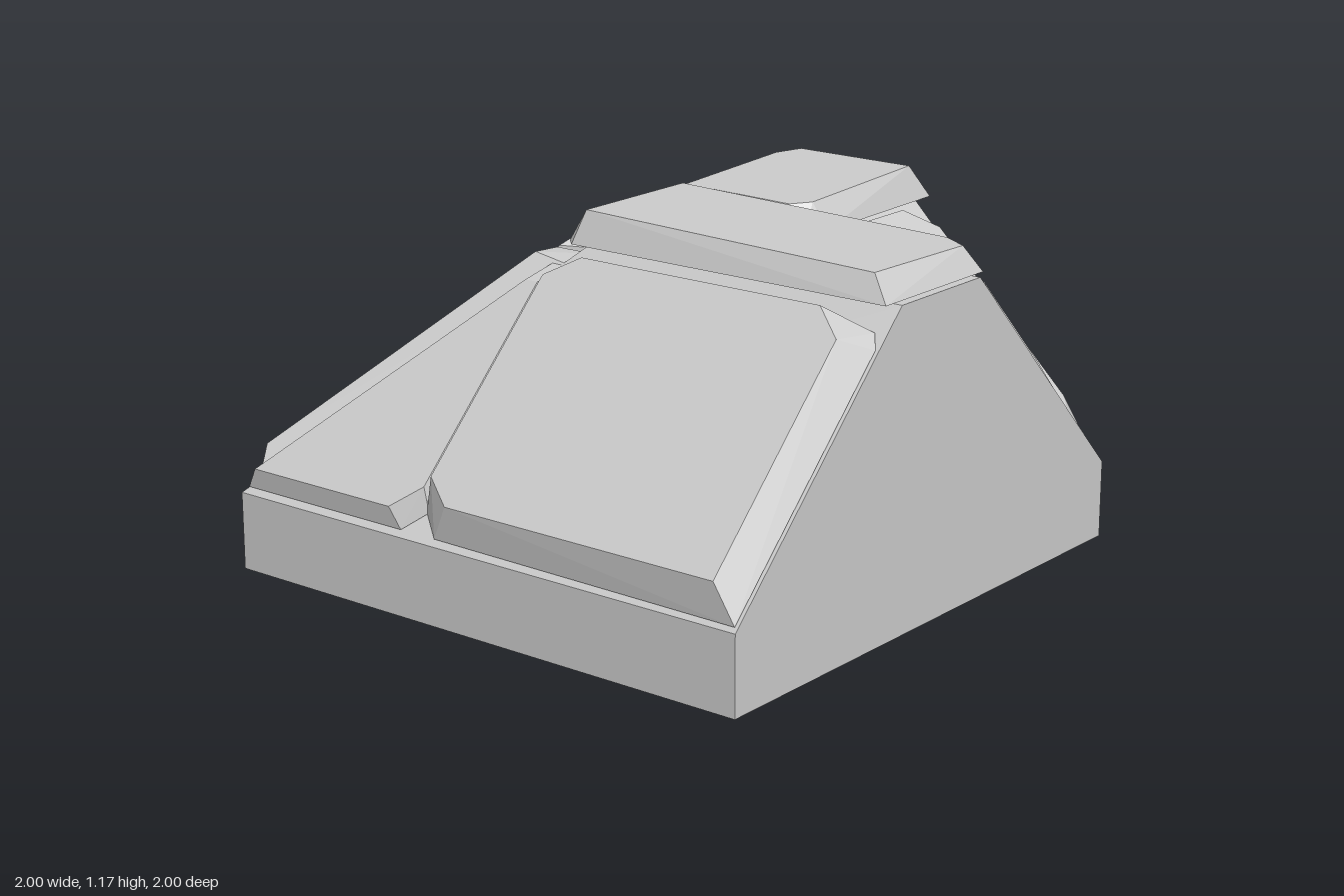
import * as THREE from 'three';
import { ConvexGeometry } from 'three/addons/geometries/ConvexGeometry.js';

// Embankment cross-section: [distance across the ridge, height]
const PROFILE = [[-1, 0], [-1, 0.26], [-0.22, 1.05], [0.2, 1.05], [1, 0.26], [1, 0]];

// Height of the embankment at distance s across the ridge
const ground = (s) => Math.min(1.05, s > 0 ? 0.26 + (1 - s) * 0.9875 : 0.26 + (1 + s) * 1.013);

const material = () => new THREE.MeshStandardMaterial({ color: 0xcccccc, flatShading: true });

// L-shaped embankment: the profile swept along +x, round a mitred corner, to -z
function embankment() {
  const stations = [(s, y) => [1, y, s], (s, y) => [-s, y, s], (s, y) => [-s, y, -1]];
  const rings = stations.map((f) => PROFILE.map(([s, y]) => new THREE.Vector3(...f(s, y))));
  const points = [];
  const tri = (a, b, c) => {
    if (new THREE.Triangle(a, b, c).getArea() > 1e-6) points.push(a, b, c);
  };
  const n = PROFILE.length;
  for (let i = 0; i < 2; i++) {
    for (let j = 0; j < n; j++) {
      const k = (j + 1) % n;
      tri(rings[i][j], rings[i + 1][k], rings[i][k]);
      tri(rings[i][j], rings[i + 1][j], rings[i + 1][k]);
    }
  }
  // End caps
  for (let j = 1; j < n - 1; j++) {
    tri(rings[0][0], rings[0][j], rings[0][j + 1]);
    tri(rings[2][0], rings[2][j + 1], rings[2][j]);
  }
  const geometry = new THREE.BufferGeometry().setFromPoints(points);
  geometry.computeVertexNormals();
  return geometry;
}

// Bevelled stone slab: wide outline on the bottom surface, smaller one on the top surface
function slab(name, bottom, top, outer, inner) {
  const lift = (outline, height) => outline.map(([x, z]) => new THREE.Vector3(x, height(x, z), z));
  const mesh = new THREE.Mesh(
    new ConvexGeometry([...lift(outer, bottom), ...lift(inner, top)]), material());
  mesh.name = name;
  return mesh;
}

export function createModel() {
  const group = new THREE.Group();
  group.name = 'cornerEmbankment';

  const base = new THREE.Mesh(embankment(), material());
  base.name = 'embankment';
  group.add(base);

  const onX = (x) => ground(-x);
  const onZ = (x, z) => ground(z);
  const crest = () => 1.06;

  // Outer slopes
  group.add(
    slab('frontSlab', (x, z) => onZ(x, z) + 0.005, (x, z) => 1.4 - z,
      [[-0.25, 0.36], [-0.25, 0.3], [-0.2, 0.28], [0.96, 0.28], [0.99, 0.32], [0.99, 0.99],
        [-0.17, 0.985], [-0.25, 0.93]],
      [[-0.22, 0.41], [-0.11, 0.35], [0.81, 0.35], [0.92, 0.42], [0.92, 1], [-0.11, 1], [-0.22, 0.94]]),
    slab('frontCornerSlab', (x, z) => onZ(x, z) + 0.005, (x, z) => 1.345 - z,
      [[-0.98, 0.985], [-0.3, 0.27], [-0.25, 0.27], [-0.24, 0.93], [-0.31, 0.985]],
      [[-0.94, 0.995], [-0.31, 0.39], [-0.26, 0.39], [-0.26, 0.93], [-0.35, 0.995]]),
    slab('sideCornerSlab', onX, (x) => 1.39 + x,
      [[-0.99, 0.27], [-0.4, 0.125], [-0.26, 0.11], [-0.26, 0.26], [-0.96, 0.96]],
      [[-1, 0.28], [-0.39, 0.14], [-0.38, 0.26], [-0.99, 0.89]]),
    slab('sideSlab', (x) => onX(x) + 0.005, (x) => 1.4 + x,
      [[-0.99, -0.98], [-0.31, -0.98], [-0.27, -0.92], [-0.26, 0.05], [-0.39, 0.13], [-0.99, 0.28]],
      [[-1, -0.8], [-0.9, -0.92], [-0.41, -0.92], [-0.33, -0.8], [-0.33, 0.01], [-0.4, 0.12], [-1, 0.22]]),
  );

  // Crest
  group.add(
    slab('crestFrontSlab', crest, (x) => 1.165 - 0.024 * x,
      [[-0.27, -0.28], [-0.22, -0.3], [0.92, -0.3], [0.99, -0.25], [0.99, 0.27], [-0.22, 0.27], [-0.26, 0.23]],
      [[-0.19, -0.26], [0.85, -0.26], [0.94, -0.21], [0.92, 0.23], [-0.19, 0.23]]),
    slab('crestBackSlab', crest, (x, z) => 1.13 - 0.045 * z,
      [[-0.28, -0.92], [-0.24, -1], [0.29, -1], [0.31, -0.38], [0.28, -0.3], [-0.27, -0.28]],
      [[-0.24, -0.84], [-0.2, -0.93], [0.25, -0.93], [0.25, -0.38], [0.2, -0.32], [-0.24, -0.34]]),
  );

  // Inner slopes meeting in the valley
  group.add(
    slab('innerBackSlab', onX, (x) => 1.36 - x,
      [[0.28, -0.3], [0.28, -0.92], [0.33, -0.99], [0.95, -0.99], [0.96, -0.95]],
      [[0.31, -0.33], [0.31, -0.81], [0.38, -0.93], [0.88, -0.94], [0.91, -0.91]]),
    slab('innerSideSlab', onZ, (x, z) => 1.36 + z,
      [[0.3, -0.28], [0.95, -0.26], [0.99, -0.31], [0.99, -0.85], [0.95, -0.93]],
      [[0.35, -0.31], [0.84, -0.31], [0.92, -0.37], [0.92, -0.7], [0.88, -0.8]]),
  );
  return group;
}
